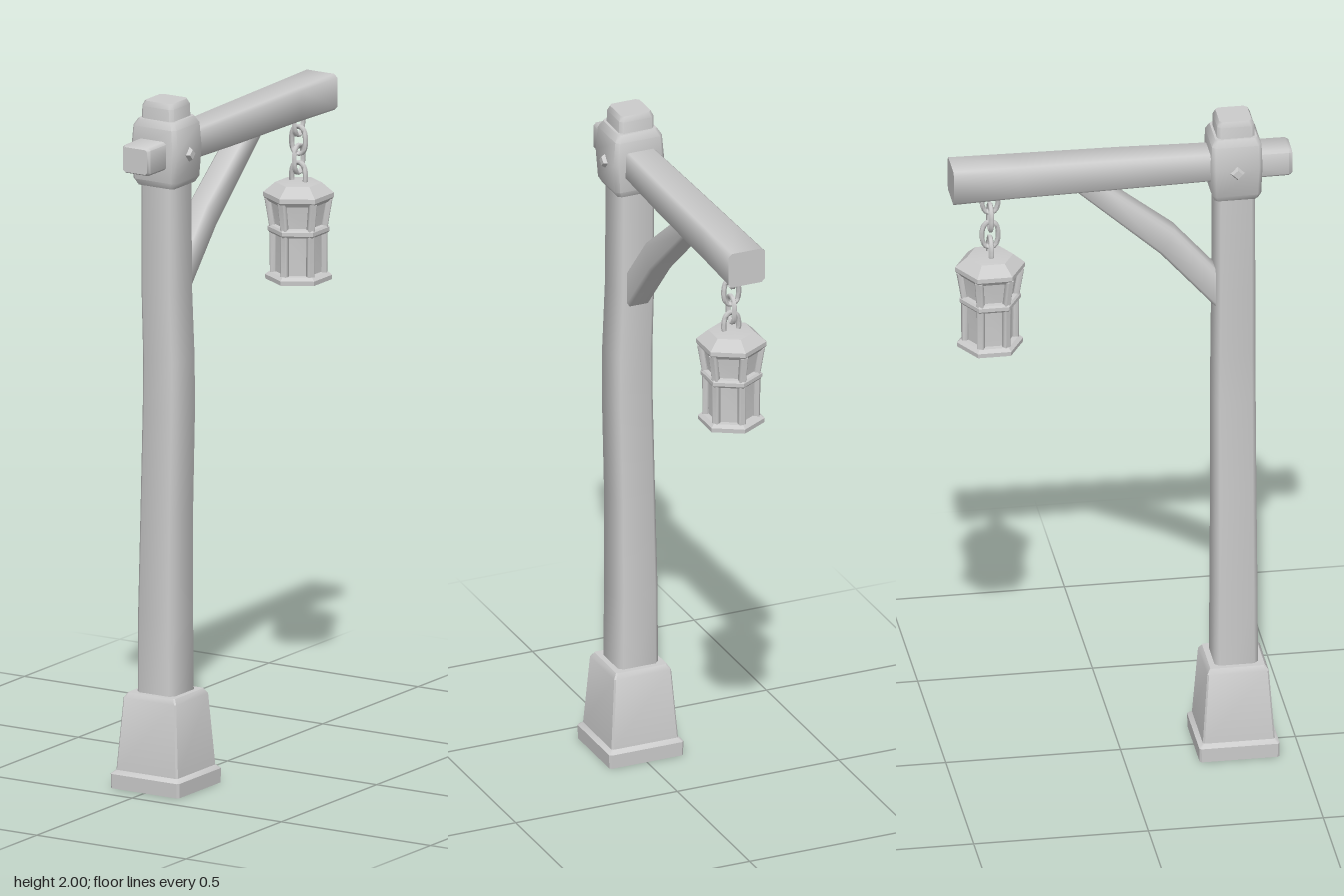
import * as THREE from 'three';
import { toCreasedNormals } from 'three/addons/utils/BufferGeometryUtils.js';

const material = new THREE.MeshStandardMaterial({ color: 0xcccccc });
const V = (x, y, z) => new THREE.Vector3(x, y, z);

function mesh(name, geometry, parent, crease = 0.9) {
  const m = new THREE.Mesh(toCreasedNormals(geometry, crease), material);
  m.name = name;
  parent.add(m);
  return m;
}

// Chamfered rectangle around c, with half-axes u and v; s is the straight share of each side
function section(c, u, v, s = 0.78) {
  return [[1, -s], [1, s], [s, 1], [-s, 1], [-1, s], [-1, -s], [-s, -1], [s, -1]]
    .map(([a, b]) => c.clone().addScaledVector(u, a).addScaledVector(v, b));
}

// Skin through sections of equal point count, closed at both ends
function loft(rings) {
  const n = rings[0].length, last = (rings.length - 1) * n, index = [];
  for (let i = 0; i < rings.length - 1; i++) {
    for (let j = 0; j < n; j++) {
      const a = i * n + j, b = i * n + (j + 1) % n;
      index.push(a, b, b + n, a, b + n, a + n);
    }
  }
  for (let j = 1; j < n - 1; j++) {
    index.push(0, j + 1, j, last, last + j, last + j + 1);
  }
  const g = new THREE.BufferGeometry().setFromPoints(rings.flat());
  g.setIndex(index);
  g.computeVertexNormals();
  return g;
}

// Upright loft from rows of [y, centre x, half x, centre z, half z]
const upright = (rows, s) => loft(rows.map(([y, x, hx, z, hz]) =>
  section(V(x, y, z), V(0, 0, hz), V(hx, 0, 0), s)));

function chainLink(w, h) {
  const pts = [[1, 0.55], [0.5, 1], [-0.5, 1], [-1, 0.55], [-1, -0.55], [-0.5, -1], [0.5, -1], [1, -0.55]]
    .map(([a, b]) => V(0, b * h, a * w));
  return new THREE.TubeGeometry(new THREE.CatmullRomCurve3(pts, true), 24, 0.0075, 6, true);
}

function hexLathe(points) {
  return new THREE.LatheGeometry(points.map(([r, y]) => new THREE.Vector2(r, y)), 6);
}

export function createModel() {
  const model = new THREE.Group();
  model.name = 'lanternPost';
  const pz = 0.323;

  // Stepped foot, hollowed underneath
  const foot = [[0.06, 0.055], [0, 0.095], [0, 0.114], [0.042, 0.115], [0.053, 0.103], [0.262, 0.088], [0.277, 0.078]];
  mesh('foot', upright(foot.map(([y, h]) => [y, 0, h, pz, h]), 0.95), model, 0.6);

  // Slightly crooked post
  mesh('post', upright([
    [0.1, 0, 0.063, pz, 0.063],
    [0.5, -0.001, 0.061, pz, 0.061],
    [0.8, 0.003, 0.058, pz, 0.059],
    [1.1, 0.01, 0.058, pz, 0.058],
    [1.25, 0.01, 0.057, pz, 0.057],
    [1.45, 0.003, 0.056, pz, 0.056],
    [1.8, 0.002, 0.055, pz, 0.055],
    [1.985, 0.001, 0.053, pz, 0.053],
    [2, 0.001, 0.046, pz, 0.046],
  ], 0.8), model);

  // Collar where post and beam cross, with side pegs
  mesh('collar', upright([
    [1.757, 0.002, 0.062, pz, 0.062],
    [1.775, 0.002, 0.072, pz, 0.07],
    [1.86, 0.002, 0.078, pz, 0.073],
    [1.93, 0.002, 0.072, pz, 0.071],
    [1.95, 0.002, 0.06, pz, 0.06],
  ], 0.85), model);
  for (const side of [-1, 1]) {
    const peg = mesh('peg', new THREE.CylinderGeometry(0.014, 0.034, 0.03, 4), model, 0.3);
    peg.rotation.z = -side * Math.PI / 2;
    peg.position.set(0.002 + side * 0.073, 1.85, pz);
  }

  // Beam, rows of [z, centre x, half x, bottom y, top y]
  mesh('beam', loft([
    [-0.485, 0.002, 0.056, 1.8, 1.905],
    [-0.3, 0.002, 0.054, 1.805, 1.903],
    [0, 0.002, 0.051, 1.808, 1.9],
    [0.25, 0, 0.047, 1.812, 1.896],
    [0.475, 0, 0.046, 1.813, 1.895],
    [0.485, 0, 0.041, 1.818, 1.89],
  ].map(([z, x, h, lo, hi]) =>
    section(V(x, (lo + hi) / 2, z), V(h, 0, 0), V(0, (hi - lo) / 2, 0), 0.82))), model);

  // Bent brace, rows of [lower z, lower y, upper z, upper y]
  mesh('brace', loft([
    [0.285, 1.39, 0.285, 1.508],
    [0.262, 1.412, 0.262, 1.53],
    [0.11, 1.587, 0.153, 1.656],
    [-0.125, 1.8, -0.03, 1.8],
    [-0.155, 1.83, -0.065, 1.83],
  ].map(([z0, y0, z1, y1]) => section(
    V(0, (y0 + y1) / 2, (z0 + z1) / 2), V(-0.036, 0, 0), V(0, (y1 - y0) / 2, (z1 - z0) / 2)))), model);

  // Lantern hanging near the end of the beam
  const lantern = new THREE.Group();
  lantern.name = 'lantern';
  lantern.position.z = -0.373;
  model.add(lantern);

  // Chain, links alternately turned
  [1.785, 1.73, 1.675, 1.625].forEach((y, i) => {
    const link = mesh('chainLink', chainLink(0.021, 0.037), lantern, 1.2);
    link.position.y = y;
    link.rotation.y = (i % 2) * Math.PI / 2;
  });

  mesh('roof', hexLathe([[0, 1.553], [0.09, 1.553], [0.1, 1.565], [0.1, 1.578], [0.066, 1.607], [0, 1.614]]), lantern, 0.5);
  mesh('glass', hexLathe([[0.067, 1.335], [0.067, 1.475], [0.08, 1.56]]), lantern, 0.3);
  mesh('band', hexLathe([[0.06, 1.459], [0.083, 1.461], [0.088, 1.467], [0.088, 1.478], [0.083, 1.484], [0.06, 1.486]]), lantern, 0.5);
  mesh('lanternBase', hexLathe([[0, 1.332], [0.078, 1.332], [0.082, 1.325], [0.094, 1.325], [0.095, 1.338],
    [0.084, 1.347], [0, 1.35]]), lantern, 0.4);

  // Corner bars, flared at the top
  for (let i = 0; i < 6; i++) {
    const bar = mesh('cornerBar', upright([[1.335, 0, 0.01, 0.072, 0.009], [1.475, 0, 0.01, 0.073, 0.009],
      [1.56, 0, 0.011, 0.087, 0.009]], 0.7), lantern);
    bar.rotation.y = i * Math.PI / 3;
  }
  return model;
}
